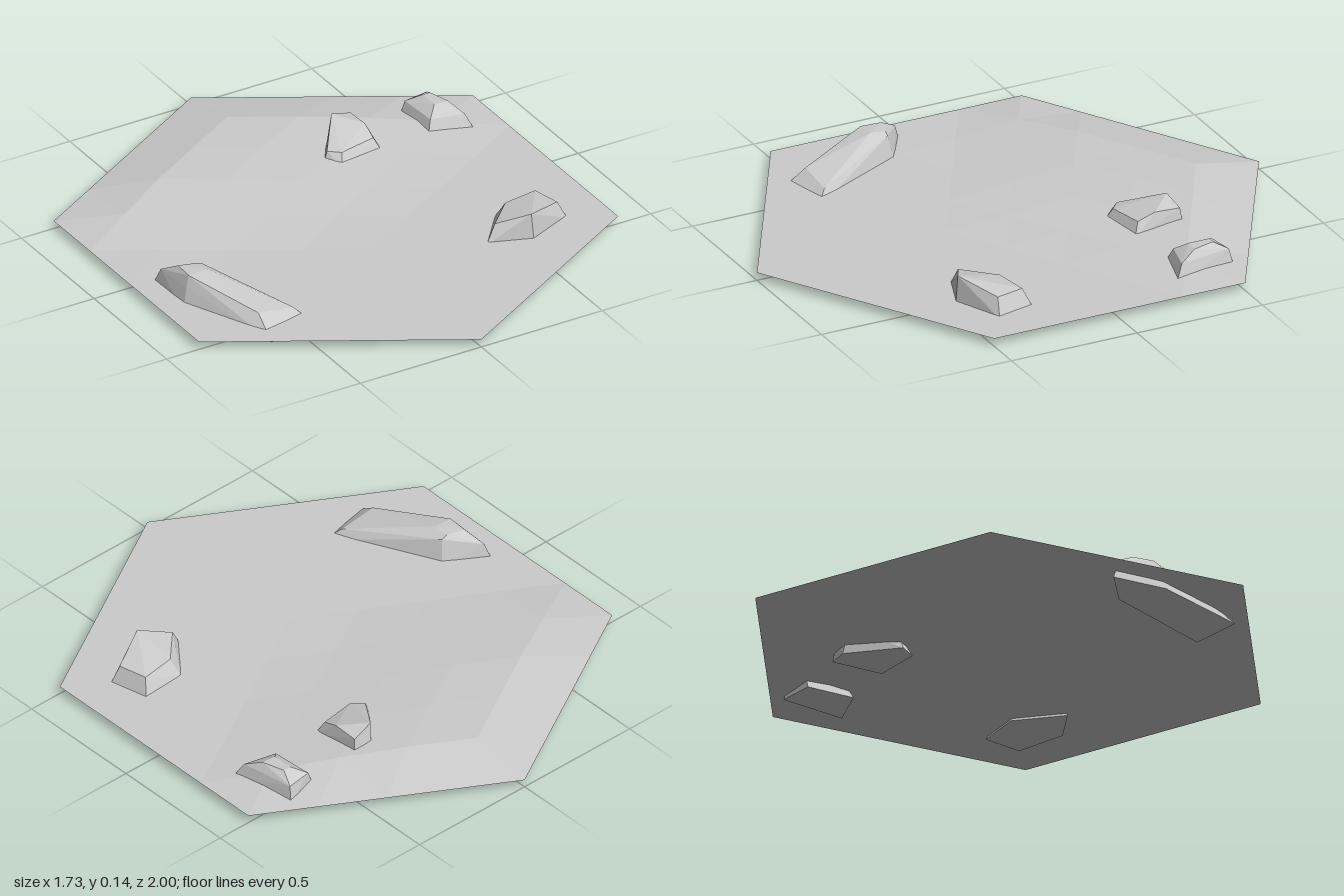
import * as THREE from 'three';
import { ConvexGeometry } from 'three/addons/geometries/ConvexGeometry.js';

const RINGS = 4; // subdivisions from tile centre to corner
const GROUND_Y = 0.03;

const stone = new THREE.MeshStandardMaterial({ color: 0xcccccc, flatShading: true });
const soil = new THREE.MeshStandardMaterial({ color: 0xcccccc, flatShading: true, side: THREE.DoubleSide });

const inside = (q, r) => Math.max(Math.abs(q), Math.abs(r), Math.abs(q + r)) <= RINGS;

// Lattice point of the hexagon; the rim stays flat, the back swells into a mound
function groundPoint(q, r) {
  const x = q * Math.sqrt(3) / 2 / RINGS;
  const z = (r + q / 2) / RINGS;
  const rim = Math.max(Math.abs(q), Math.abs(r), Math.abs(q + r)) === RINGS;
  const rise = rim ? 0 : THREE.MathUtils.clamp((0.1 - z - 0.35 * Math.abs(x + 0.1)) / 0.5, 0, 1);
  return [x, GROUND_Y + 0.045 * rise, z];
}

function groundGeometry() {
  const positions = [];
  const addTriangle = (...corners) => {
    if (corners.every(([q, r]) => inside(q, r))) {
      corners.forEach(([q, r]) => positions.push(...groundPoint(q, r)));
    }
  };
  for (let q = -RINGS; q <= RINGS; q++) {
    for (let r = -RINGS; r <= RINGS; r++) {
      addTriangle([q, r], [q, r + 1], [q + 1, r]);
      addTriangle([q + 1, r], [q, r + 1], [q + 1, r + 1]);
    }
  }
  const geometry = new THREE.BufferGeometry();
  geometry.setAttribute('position', new THREE.Float32BufferAttribute(positions, 3));
  geometry.computeVertexNormals();
  return geometry;
}

// Faceted rock: flat base outline [x, z] plus upper corners [x, y, z]
function rock(name, baseY, base, upper) {
  const points = [
    ...base.map(([x, z]) => new THREE.Vector3(x, baseY, z)),
    ...upper.map((p) => new THREE.Vector3(...p)),
  ];
  const mesh = new THREE.Mesh(new ConvexGeometry(points), stone);
  mesh.name = name;
  return mesh;
}

export function createModel() {
  const model = new THREE.Group();
  model.name = 'rockyHexTile';

  const ground = new THREE.Mesh(groundGeometry(), soil);
  ground.name = 'ground';
  model.add(ground);

  // Long rock with its summit towards the back
  model.add(rock('longRock', 0,
    [[-0.78, 0.03], [-0.62, 0.13], [-0.42, 0.54], [-0.62, 0.59], [-0.775, 0.24]],
    [
      [-0.76, 0.08, 0.06], [-0.64, 0.11, 0.15], [-0.47, 0.05, 0.49],
      [-0.615, 0.07, 0.49], [-0.75, 0.08, 0.22],
      [-0.735, 0.12, 0.21], [-0.66, 0.125, 0.21], [-0.66, 0.12, 0.15], [-0.73, 0.12, 0.13],
    ]));

  // Broad rock whose top rises to the front
  model.add(rock('broadRock', 0.02,
    [[0.37, 0.42], [0.5, 0.26], [0.68, 0.25], [0.715, 0.4], [0.53, 0.48]],
    [[0.41, 0.09, 0.41], [0.52, 0.09, 0.3], [0.655, 0.09, 0.28], [0.68, 0.09, 0.39], [0.525, 0.125, 0.47]]));

  // Wedge rock on the mound
  model.add(rock('wedgeRock', 0.035,
    [[0.15, -0.34], [0.195, -0.28], [0.38, -0.31], [0.37, -0.51], [0.29, -0.51]],
    [[0.17, 0.085, -0.345], [0.21, 0.085, -0.31], [0.355, 0.09, -0.335], [0.36, 0.115, -0.4],
      [0.36, 0.11, -0.5], [0.275, 0.135, -0.49]]));

  // Stepped rock with a small capped peak
  model.add(rock('steppedRock', 0.02,
    [[0.565, -0.51], [0.7, -0.54], [0.75, -0.285], [0.575, -0.325]],
    [
      [0.59, 0.085, -0.51], [0.69, 0.085, -0.525], [0.725, 0.085, -0.32], [0.6, 0.085, -0.35],
      [0.64, 0.115, -0.47], [0.67, 0.115, -0.47], [0.695, 0.115, -0.385], [0.64, 0.115, -0.39],
    ]));

  return model;
}
